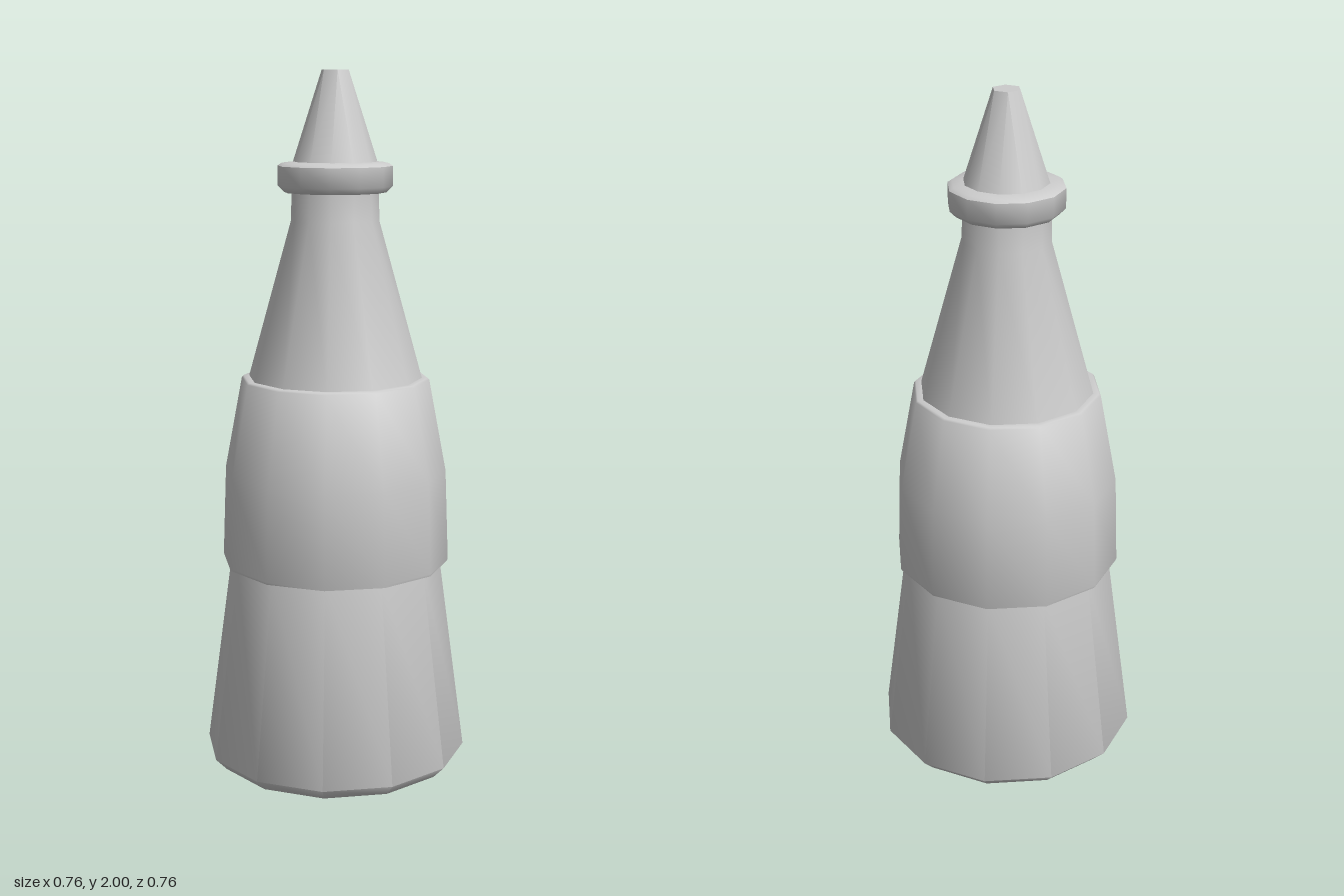
import * as THREE from 'three';
import { toCreasedNormals } from 'three/addons/utils/BufferGeometryUtils.js';

const SIDES = 12;
const CREASE = 0.95;

export function createModel() {
  const group = new THREE.Group();
  const material = new THREE.MeshStandardMaterial({ color: 0xcccccc });

  const add = (name, geometry) => {
    const mesh = new THREE.Mesh(toCreasedNormals(geometry, CREASE), material);
    mesh.name = name;
    group.add(mesh);
  };
  // Twelve-sided turned part from [radius, height] pairs, listed bottom to top
  const turned = (name, profile) =>
    add(name, new THREE.LatheGeometry(profile.map(([r, y]) => new THREE.Vector2(r, y)), SIDES));

  // Flared lower body with a bevelled foot
  turned('lowerBody', [[0, 0], [0.348, 0], [0.382, 0.035], [0.305, 0.61]]);

  // Wider sleeve around the middle, with a lip underneath and a flat rim on top
  turned('sleeve', [
    [0.3, 0.6], [0.328, 0.6], [0.33, 0.607], [0.32, 0.87], [0.27, 1.135], [0.265, 1.14], [0.245, 1.14],
  ]);

  // Tapering shoulder and straight neck
  turned('neck', [[0.25, 1.135], [0.125, 1.585], [0.123, 1.67]]);

  // Rounded collar
  turned('collar', [
    [0.12, 1.665], [0.145, 1.665], [0.162, 1.682], [0.162, 1.738], [0.15, 1.746], [0.115, 1.75],
  ]);

  // Nozzle: the twelve-sided base merges in pairs into a six-sided tip
  const nozzle = new THREE.CylinderGeometry(0.04, 0.12, 0.255, SIDES);
  nozzle.translate(0, 1.8725, 0);
  const pos = nozzle.attributes.position;
  const step = Math.PI / 3, offset = Math.PI / 4;
  for (let i = 0; i < pos.count; i++) {
    const x = pos.getX(i), z = pos.getZ(i), r = Math.hypot(x, z);
    if (pos.getY(i) < 1.9 || r < 0.01) continue;
    const angle = Math.round((Math.atan2(z, x) - offset) / step) * step + offset;
    pos.setX(i, r * Math.cos(angle));
    pos.setZ(i, r * Math.sin(angle));
  }
  add('nozzle', nozzle);

  return group;
}
